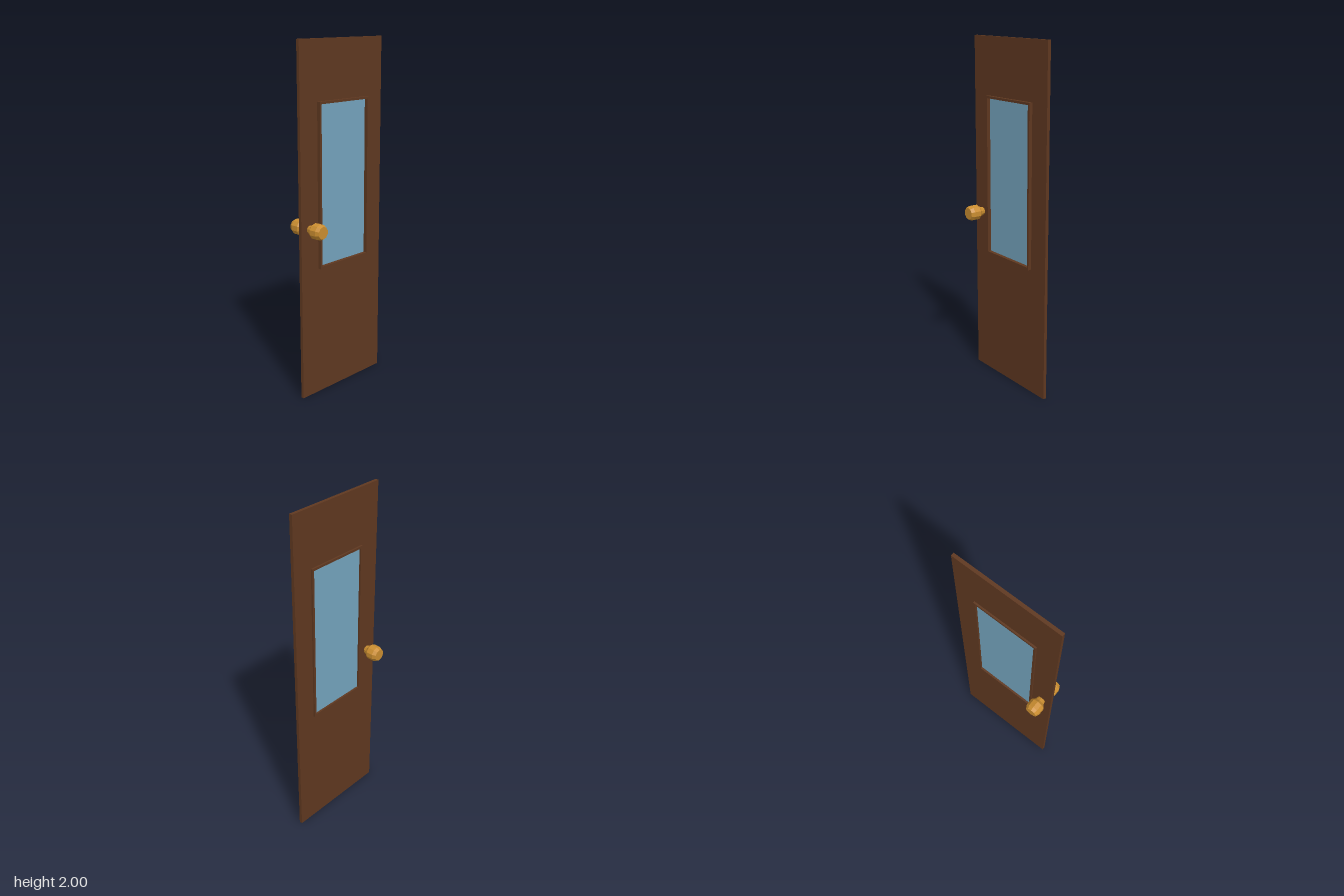
import * as THREE from 'three';

const material = (color) => new THREE.MeshStandardMaterial({ color, flatShading: true });

// Rectangle as a path, sized by its z and y limits (drawn in the -z, y plane)
function rect(path, z0, z1, y0, y1) {
  path.moveTo(-z1, y0);
  path.lineTo(-z0, y0);
  path.lineTo(-z0, y1);
  path.lineTo(-z1, y1);
  path.closePath();
  return path;
}

// Rectangular plate with a rectangular opening, lying between x0 and x1
function openPlate(outer, inner, x0, x1) {
  const shape = rect(new THREE.Shape(), ...outer);
  shape.holes.push(rect(new THREE.Path(), ...inner));
  const geometry = new THREE.ExtrudeGeometry(shape, { depth: x1 - x0, bevelEnabled: false });
  return geometry.translate(0, 0, x0).rotateY(Math.PI / 2);
}

export function createModel() {
  const door = new THREE.Group();
  door.name = 'door';
  const wood = material(0x5f3820);
  const glass = material(0x74a3bd);
  const brass = material(0xca8d30);

  const add = (name, geometry, mat) => {
    const mesh = new THREE.Mesh(geometry, mat);
    mesh.name = name;
    door.add(mesh);
    return mesh;
  };

  // Slab and raised window frame
  const opening = [-0.184, 0.178, 0.763, 1.662];
  const frameOutline = [-0.197, 0.191, 0.75, 1.675];
  add('slab', openPlate([-0.317, 0.317, 0, 2], [-0.19, 0.184, 0.757, 1.668], -0.013, 0.006), wood);
  add('windowFrame', openPlate(frameOutline, opening, -0.023, 0.026), wood);

  // Window pane
  const pane = add('windowPane', new THREE.BoxGeometry(0.016, 0.91, 0.372), glass);
  pane.position.set(-0.0035, 1.2125, -0.003);

  // Ten-sided knobs, one on each face: [radius, distance from the middle]
  const profile = [[0.021, 0], [0.022, 0.006], [0.03, 0.034], [0.045, 0.05], [0.045, 0.091], [0.035, 0.111], [0, 0.111]]
    .map(([r, d]) => new THREE.Vector2(r, d));
  for (const side of [1, -1]) {
    const knob = new THREE.LatheGeometry(profile, 10, Math.PI / 2).rotateZ(-side * Math.PI / 2);
    add(side > 0 ? 'leftKnob' : 'rightKnob', knob, brass).position.set(0, 0.99, 0.255);
  }

  return door;
}
